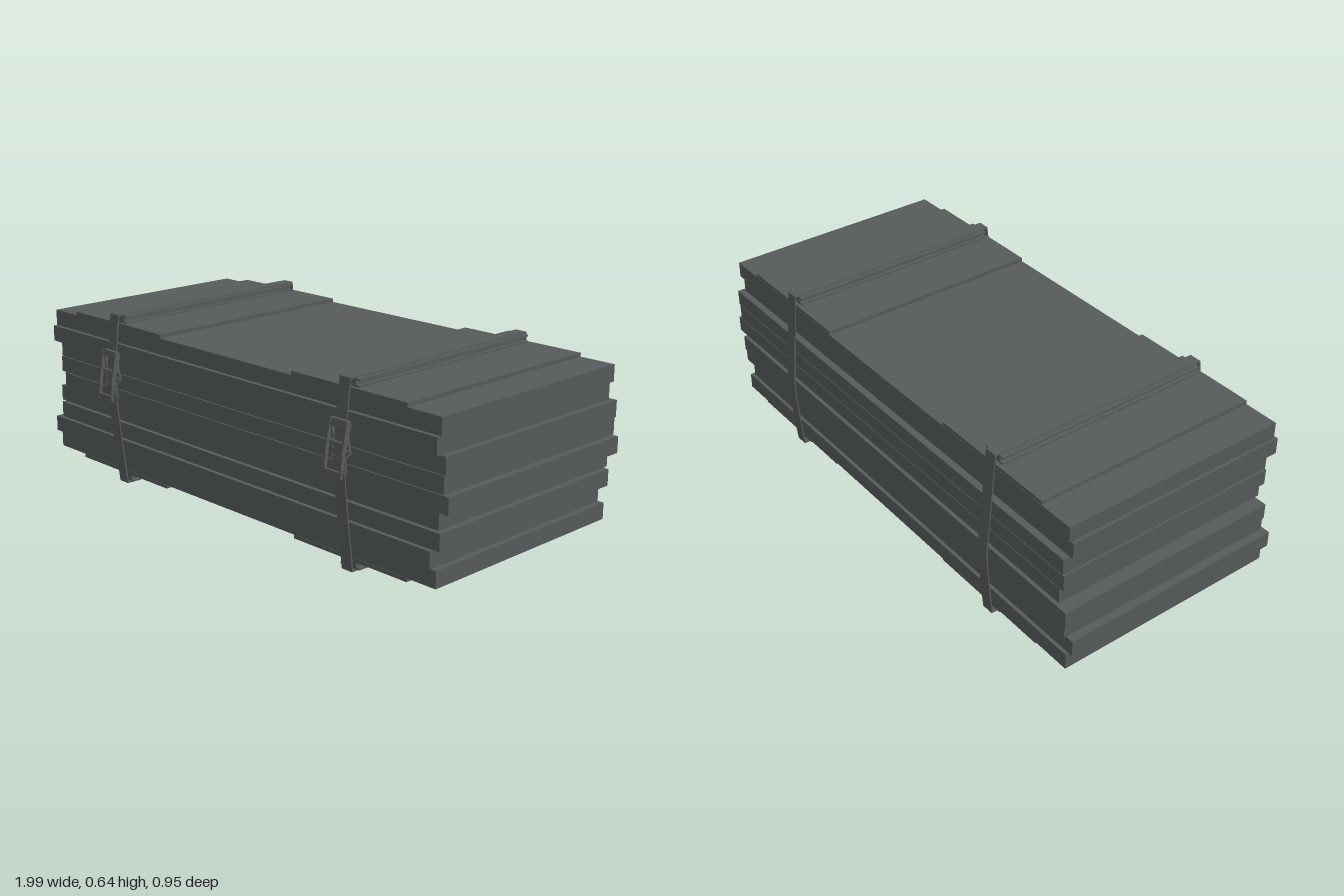
import * as THREE from 'three';

export function createModel() {
  const root = new THREE.Group();
  const grey = new THREE.MeshStandardMaterial({ color: 0x565a5a });
  grey.name = 'dark grey';

  const add = (parent, name, geometry) => {
    const mesh = new THREE.Mesh(geometry, grey);
    mesh.name = name;
    parent.add(mesh);
    return mesh;
  };
  // box given by its limits on each axis
  const box = (parent, name, x0, x1, y0, y1, z0, z1) => {
    const mesh = add(parent, name, new THREE.BoxGeometry(x1 - x0, y1 - y0, z1 - z0));
    mesh.position.set((x0 + x1) / 2, (y0 + y1) / 2, (z0 + z1) / 2);
    return mesh;
  };
  // side outline of (z, y) points, extruded across x and centred on x = 0
  const profile = (points, width, hole) => {
    const shape = new THREE.Shape(points.map(p => new THREE.Vector2(...p)));
    if (hole) shape.holes.push(new THREE.Path(hole.map(p => new THREE.Vector2(...p))));
    return new THREE.ExtrudeGeometry(shape, { depth: width, bevelEnabled: false })
      .translate(0, 0, -width / 2).rotateY(-Math.PI / 2);
  };

  // stack of nine unevenly laid sheets, bottom to top: [left edge x, front edge z]
  const sheets = [[-0.979, 0.396], [-0.996, 0.407], [-0.968, 0.396], [-0.984, 0.384], [-0.938, 0.396],
    [-0.957, 0.396], [-0.952, 0.396], [-0.968, 0.419], [-0.96, 0.409]];
  const stack = new THREE.Group();
  stack.name = 'sheetStack';
  sheets.forEach(([x, z], i) => {
    const y = 0.052 + i * 0.0611;
    box(stack, 'sheet', x, x + 1.936, y, y + 0.0585, z - 0.852, z);
  });
  // dark cores closing the narrow gaps between the sheets
  box(stack, 'core', -0.93, 0.93, 0.055, 0.595, -0.43, 0.38);
  root.add(stack);

  // strap loop: outer and inner side outlines
  const outer = [[0.416, 0.645], [-0.442, 0.645], [-0.459, 0.465], [-0.475, 0.29], [-0.475, 0.23],
    [-0.464, 0.09], [-0.455, 0.003], [0.401, 0.003], [0.423, 0.18], [0.443, 0.37], [0.434, 0.5]];
  const inner = [[0.411, 0.639], [-0.437, 0.639], [-0.454, 0.465], [-0.4705, 0.29], [-0.4705, 0.23],
    [-0.459, 0.09], [-0.45, 0.008], [0.396, 0.008], [0.418, 0.18], [0.438, 0.37], [0.429, 0.5]];

  for (const x of [-0.581, 0.589]) {
    const binding = new THREE.Group();
    binding.name = 'binding';
    binding.position.x = x;
    root.add(binding);

    // protective boards above and below the stack
    box(binding, 'topBoard', -0.248, 0.252, 0.598, 0.613, -0.442, 0.409);
    box(binding, 'bottomBoard', -0.248, 0.252, 0.04, 0.053, -0.452, 0.398);

    // flanged rails carrying the strap
    for (const [name, y0, z0, z1] of [['topRail', 0.613, -0.427, 0.396], ['bottomRail', 0.011, -0.437, 0.388]]) {
      box(binding, name + 'Web', -0.028, 0.028, y0, y0 + 0.029, z0, z1);
      for (const y of [y0, y0 + 0.021]) box(binding, name + 'Flange', -0.042, 0.042, y, y + 0.006, z0, z1);
    }

    add(binding, 'strap', profile(outer, 0.046, inner));

    // buckle: side cheeks, lever frame, pins and loose strap end
    const cheek = [[0.428, 0.505], [0.435, 0.515], [0.446, 0.505], [0.443, 0.46],
      [0.428, 0.42], [0.419, 0.408], [0.428, 0.4], [0.445, 0.385], [0.45, 0.41], [0.458, 0.48]];
    const lever = [[0.424, 0.503], [0.431, 0.515], [0.443, 0.514], [0.448, 0.49], [0.462, 0.42],
      [0.474, 0.337], [0.465, 0.334], [0.452, 0.42]];
    // mirrored so the lever swings away from the strap
    const arm = [[0.43, 0.512], [0.425, 0.5], [0.452, 0.42], [0.462, 0.335], [0.474, 0.335],
      [0.466, 0.42], [0.455, 0.47], [0.446, 0.512]];
    for (const side of [-1, 1]) {
      add(binding, 'buckleCheek', profile(cheek.slice(0, 8), 0.006)).position.x = side * 0.029;
      add(binding, 'buckleLeverArm', profile(arm, 0.007)).position.x = side * 0.036;
    }
    add(binding, 'buckleLeverHead', profile(lever.slice(0, 4), 0.072));
    box(binding, 'buckleLeverGrip', -0.04, 0.04, 0.335, 0.355, 0.462, 0.472);
    for (const [z, y] of [[0.437, 0.5], [0.428, 0.41], [0.447, 0.44]]) {
      add(binding, 'bucklePin', new THREE.CylinderGeometry(0.007, 0.007, 0.076, 8).rotateZ(Math.PI / 2))
        .position.set(0, y, z);
    }
    add(binding, 'strapEnd', profile([[0.436, 0.395], [0.427, 0.34], [0.433, 0.337], [0.443, 0.393]], 0.05));
  }
  return root;
}
